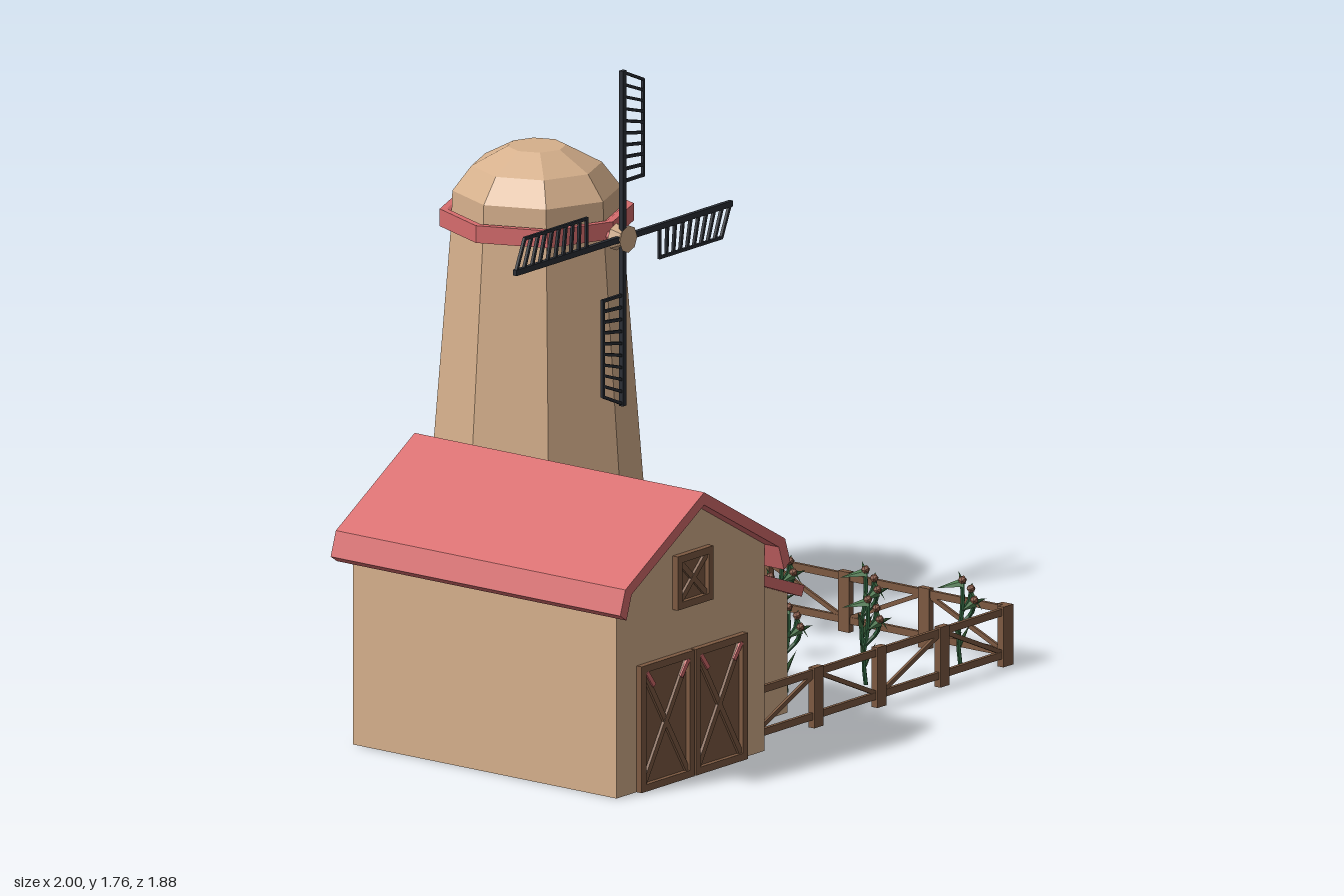
import * as THREE from 'three';
import { mergeGeometries } from 'three/addons/utils/BufferGeometryUtils.js';

const mat = (name, color, side = THREE.FrontSide) => {
  const m = new THREE.MeshStandardMaterial({ color, side });
  m.name = name;
  return m;
};
const V = (x, y, z) => new THREE.Vector3(x, y, z);

// Faceted copy of a geometry
function flat(g) {
  const f = g.index ? g.toNonIndexed() : g;
  f.deleteAttribute('uv');
  f.computeVertexNormals();
  return f;
}
const box = (w, h, d, x, y, z) => flat(new THREE.BoxGeometry(w, h, d).translate(x, y, z));

// Rectangular bar between two points; w lies across the bar, d along its depth
function bar(a, b, w, d) {
  const dir = b.clone().sub(a);
  const q = new THREE.Quaternion().setFromUnitVectors(V(0, 1, 0), dir.clone().normalize());
  const mid = a.clone().add(b).multiplyScalar(0.5);
  return flat(new THREE.BoxGeometry(w, dir.length(), d).applyQuaternion(q).translate(mid.x, mid.y, mid.z));
}

function shapeOf(pts) {
  return new THREE.Shape(pts.map(p => new THREE.Vector2(p[0], p[1])));
}
const slab = (pts, z0, z1) =>
  flat(new THREE.ExtrudeGeometry(shapeOf(pts), { depth: z1 - z0, bevelEnabled: false }).translate(0, 0, z0));

// Walls of a building from its gable outline, open underneath
function shell(pts, z0, z1) {
  const front = new THREE.ShapeGeometry(shapeOf(pts)).translate(0, 0, z1);
  const back = new THREE.ShapeGeometry(shapeOf(pts)).rotateY(Math.PI);
  back.scale(-1, 1, 1).translate(0, 0, z0);
  const idx = back.index.array;
  for (let i = 0; i < idx.length; i += 3) [idx[i], idx[i + 1]] = [idx[i + 1], idx[i]];
  // the mirror flips the winding and so does the swap above, so turn it to face -z
  const pos = back.attributes.position;
  const [a, b, c] = [0, 1, 2].map(i => V().fromBufferAttribute(pos, idx[i]));
  if (b.sub(a).cross(c.sub(a)).z > 0)
    for (let i = 0; i < idx.length; i += 3) [idx[i], idx[i + 1]] = [idx[i + 1], idx[i]];
  const side = [];
  for (let i = 0; i < pts.length - 1; i++) {
    const [p, q] = [pts[i], pts[i + 1]];
    side.push(...p, z1, ...p, z0, ...q, z0, ...p, z1, ...q, z0, ...q, z1);
  }
  const s = new THREE.BufferGeometry();
  s.setAttribute('position', new THREE.Float32BufferAttribute(side, 3));
  s.computeVertexNormals();
  return mergeGeometries([flat(front), flat(back), s]);
}

const lathe = pts => flat(new THREE.LatheGeometry(pts.map(p => new THREE.Vector2(p[0], p[1])), 8));

export function createModel() {
  const model = new THREE.Group();
  model.name = 'farm';
  const tan = mat('tan plaster', 0xd6b08c, THREE.DoubleSide);
  const red = mat('faded red', 0xd66c6d);
  const brown = mat('brown wood', 0x7d5a42);
  const black = mat('dark sail wood', 0x2a2e35);
  const green = mat('stem green', 0x2d5c3a);
  const leafGreen = mat('leaf green', 0x4a7a4c, THREE.DoubleSide);
  const rust = mat('flower head', 0x8f5c47);
  const add = (name, geo, m, parent = model) => {
    const mesh = new THREE.Mesh(geo, m);
    mesh.name = name;
    parent.add(mesh);
    return mesh;
  };

  // Barn
  const barn = new THREE.Group();
  barn.name = 'barn';
  model.add(barn);
  // outline runs up the -x wall, over the ridge and down the +x wall
  add('barnWalls', shell([[-0.245, 0], [-0.245, 0.635], [-0.6, 0.84], [-0.95, 0.635], [-0.95, 0]], -0.115, 0.886), tan, barn);
  add('barnRoof', slab([[-1, 0.58], [-0.97, 0.56], [-0.945, 0.635], [-0.6, 0.838], [-0.245, 0.635], [-0.22, 0.56],
    [-0.19, 0.58], [-0.215, 0.655], [-0.6, 0.877], [-0.975, 0.655]], -0.16, 0.94), red, barn);
  add('leanToWalls', shell([[0.14, 0], [0.14, 0.372], [-0.245, 0.52], [-0.245, 0]], 0.1, 0.665), tan, barn);
  add('leanToRoof', slab([[-0.245, 0.515], [0.172, 0.355], [0.185, 0.387], [-0.245, 0.548]], 0.073, 0.695), red, barn);

  // Framed panel with crossed braces, for the doors and loft hatch
  function panel(name, x0, x1, y0, y1) {
    const w = x1 - x0, h = y1 - y0, cx = (x0 + x1) / 2, cy = (y0 + y1) / 2, t = 0.022;
    const z = 0.896;
    add(name, mergeGeometries([
      box(w, h, 0.006, cx, cy, 0.888),
      box(t, h, 0.02, x0 + t / 2, cy, z), box(t, h, 0.02, x1 - t / 2, cy, z),
      box(w - 2 * t, t, 0.02, cx, y0 + t / 2, z), box(w - 2 * t, t, 0.02, cx, y1 - t / 2, z),
      bar(V(x0 + t, y0 + t, 0.894), V(x1 - t, y1 - t, 0.894), 0.018, 0.012),
      bar(V(x0 + t, y1 - t, 0.893), V(x1 - t, y0 + t, 0.893), 0.018, 0.012),
    ]), brown, barn);
  }
  panel('rightDoor', -0.855, -0.603, 0, 0.388);
  panel('leftDoor', -0.597, -0.35, 0, 0.388);
  panel('loftHatch', -0.683, -0.513, 0.525, 0.69);
  const marks = [];
  for (const [x, s] of [[-0.828, 1], [-0.63, -1], [-0.57, 1], [-0.377, -1]])
    marks.push(bar(V(x, 0.365, 0.904), V(x + s * 0.035, 0.318, 0.904), 0.014, 0.006));
  add('doorMarks', mergeGeometries(marks), red, barn);

  // Windmill tower
  const mill = new THREE.Group();
  mill.name = 'windmill';
  mill.position.set(0.46, 0, -0.542);
  model.add(mill);
  add('towerBase', lathe([[0.3, 0.38], [0.335, 0.38], [0.36, 0], [0.397, 0], [0.375, 0.41], [0.3, 0.41]]), red, mill);
  add('towerBody', lathe([[0.322, 0.4], [0.255, 1.25]]), tan, mill);
  add('towerRing', lathe([[0.24, 1.237], [0.29, 1.237], [0.29, 1.29], [0.268, 1.29], [0.24, 1.275]]), red, mill);
  add('dome', lathe([[0.255, 1.26], [0.252, 1.345], [0.195, 1.42], [0.088, 1.477], [0, 1.477]]), tan, mill);

  // Rotor with four lattice sails
  const rotor = new THREE.Group();
  rotor.name = 'rotor';
  rotor.position.set(0.457, 1.247, -0.212);
  model.add(rotor);
  add('shaft', flat(new THREE.CylinderGeometry(0.02, 0.02, 0.1, 8).rotateX(Math.PI / 2).translate(0, 0, -0.06)), red, rotor);
  add('hub', flat(new THREE.CylinderGeometry(0.025, 0.042, 0.03, 8).rotateX(Math.PI / 2).translate(0, 0, -0.01)), tan, rotor);
  add('hubCap', flat(new THREE.CylinderGeometry(0.042, 0.025, 0.016, 8).rotateX(Math.PI / 2).translate(0, 0, 0.013)), tan, rotor);
  const sail = [bar(V(0, 0.02, 0), V(0, 0.515, 0), 0.018, 0.014), bar(V(0.096, 0.17, 0), V(0.096, 0.47, 0), 0.009, 0.009)];
  for (let i = 0; i < 10; i++) {
    const k = i / 9;
    sail.push(bar(V(0, 0.174 + 0.336 * k, 0), V(0.096, 0.174 + 0.294 * k, 0), 0.009, 0.009));
  }
  const sailGeo = mergeGeometries(sail);
  for (let i = 0; i < 4; i++) add('sail', sailGeo, black, rotor).rotation.z = i * Math.PI / 2;

  // Fence run along x: posts, two rails and alternating diagonals
  function fence(name, length, bays) {
    const parts = [], step = length / bays;
    for (let i = 0; i <= bays; i++) {
      parts.push(box(0.042, 0.185, 0.022, i * step, 0.0925, 0));
      if (i === bays) break;
      const x = i * step, up = i % 2 === 0;
      parts.push(box(step, 0.022, 0.012, x + step / 2, 0.168, 0), box(step, 0.022, 0.012, x + step / 2, 0.036, 0));
      parts.push(bar(V(x, up ? 0.036 : 0.168, 0), V(x + step, up ? 0.168 : 0.036, 0), 0.014, 0.009));
    }
    return add(name, mergeGeometries(parts), brown);
  }
  fence('frontFence', 1.2, 4).position.set(-0.23, 0, 0.83);
  fence('backFence', 1.2, 4).position.set(-0.23, 0, -0.107);
  const side = fence('sideFence', 0.91, 3);
  side.position.set(0.985, 0, 0.82);
  side.rotation.y = Math.PI / 2;

  // Crop plant: bent stalk, pointed leaves and rusty heads
  const tube = pts => flat(new THREE.TubeGeometry(new THREE.CatmullRomCurve3(pts), 5, 0.007, 5));
  const stalks = mergeGeometries([
    tube([V(-0.015, 0, 0.005), V(-0.02, 0.09, 0), V(-0.005, 0.17, 0.005), V(0, 0.25, 0)]),
    tube([V(-0.015, 0.12, 0), V(0.005, 0.16, 0.03), V(-0.012, 0.2, 0.055)]),
    tube([V(-0.005, 0.16, 0), V(0.02, 0.19, 0.01), V(0.026, 0.22, 0.012)]),
  ]);
  const leaf = (a, b) => {
    const d = b.clone().sub(a);
    const q = new THREE.Quaternion().setFromUnitVectors(V(0, 1, 0), d.clone().normalize());
    const g = new THREE.ConeGeometry(0.015, d.length(), 4, 1, true).scale(1, 1, 0.4);
    const m = a.clone().addScaledVector(d, 0.5);
    return flat(g.applyQuaternion(q).translate(m.x, m.y, m.z));
  };
  const leaves = mergeGeometries([
    leaf(V(0, 0.25, 0), V(-0.055, 0.235, -0.055)), leaf(V(0, 0.25, 0), V(0.02, 0.275, -0.03)),
    leaf(V(0.026, 0.22, 0.012), V(0.06, 0.235, -0.01)), leaf(V(0.026, 0.215, 0.012), V(0.045, 0.16, 0.04)),
    leaf(V(-0.012, 0.2, 0.055), V(-0.055, 0.18, 0.04)), leaf(V(-0.012, 0.2, 0.055), V(0.02, 0.21, 0.075)),
    leaf(V(-0.018, 0.09, 0), V(-0.05, 0.14, 0.01)), leaf(V(-0.018, 0.06, 0), V(0.025, 0.12, 0.01)),
  ]);
  const heads = mergeGeometries([[0, 0.258, 0], [-0.012, 0.208, 0.055], [0.026, 0.228, 0.012]].map(p =>
    flat(new THREE.IcosahedronGeometry(0.014, 0).translate(...p))));
  for (const [x, z] of [[0.36, 0.16], [0.58, 0.25], [0.82, 0.1], [0.34, 0.51], [0.555, 0.64], [0.82, 0.42], [0.905, 0.72]]) {
    const plant = new THREE.Group();
    plant.name = 'cropPlant';
    plant.position.set(x, 0, z);
    add('stalks', stalks, green, plant);
    add('leaves', leaves, leafGreen, plant);
    add('heads', heads, rust, plant);
    model.add(plant);
  }
  return model;
}
